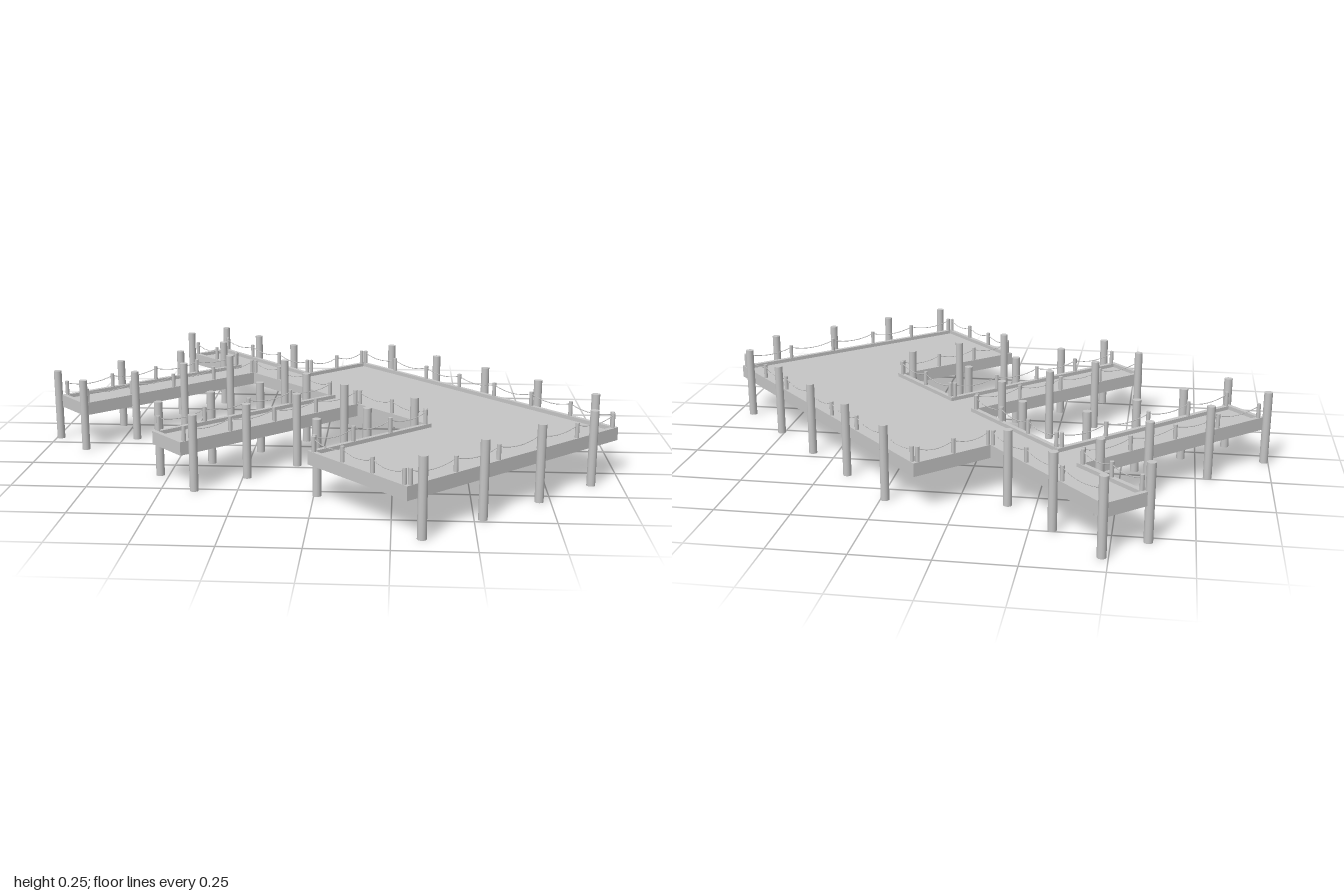
import * as THREE from 'three';

// Deck outline seen from above, as [x, z]
const OUTLINE = [
  [-0.48, -0.9], [-0.09, -0.475], [0.12, -0.675], [1.0, 0.255],
  [0.295, 0.92], [-0.015, 0.59], [0.355, 0.25], [0.12, 0.005],
  [-0.43, 0.525], [-0.545, 0.4], [0.01, -0.12], [-0.31, -0.455],
  [-0.86, 0.065], [-0.975, -0.06], [-0.4, -0.59], [-0.605, -0.79],
].map(([x, z]) => new THREE.Vector2(x, -z));

// Rows of piles: [x0, z0, x1, z1, count]
const PILE_ROWS = [
  [-0.48, -0.905, -0.48, -0.905, 1], [-0.61, -0.78, -0.45, -0.605, 2],
  [-0.32, -0.74, -0.16, -0.57, 2], [0.235, -0.585, 0.935, 0.165, 5],
  [0.9, 0.38, 0.34, 0.905, 4], [0.01, 0.54, 0.32, 0.25, 3],
  [0.075, 0.08, -0.39, 0.515, 4], [-0.53, 0.36, -0.07, -0.075, 4],
  [-0.17, -0.285, -0.17, -0.285, 1], [-0.39, -0.355, -0.855, 0.08, 4],
  [-0.985, -0.06, -0.985, -0.06, 1], [-0.79, -0.24, -0.595, -0.425, 2],
];

// Move every side of the clockwise outline inwards by w
function inset(points, w) {
  const n = points.length;
  const normal = (a, b) => {
    const d = b.clone().sub(a).normalize();
    return new THREE.Vector2(d.y, -d.x);
  };
  return points.map((p, i) => {
    const n1 = normal(points[(i + n - 1) % n], p);
    const n2 = normal(p, points[(i + 1) % n]);
    return p.clone().add(n1.clone().add(n2).multiplyScalar(w / (1 + n1.dot(n2))));
  });
}

// Horizontal slab between two heights
function slab(shape, y0, y1) {
  const g = new THREE.ExtrudeGeometry(shape, { depth: y1 - y0, bevelEnabled: false });
  return g.rotateX(-Math.PI / 2).translate(0, y0, 0);
}

export function createModel() {
  const model = new THREE.Group();
  model.name = 'pier';
  const timber = new THREE.MeshStandardMaterial({ color: 0xc6c6c6 });
  timber.name = 'grey timber';
  const add = (geometry, name, parent = model) => {
    const mesh = new THREE.Mesh(geometry, timber);
    mesh.name = name;
    parent.add(mesh);
    return mesh;
  };
  const group = (name) => {
    const g = new THREE.Group();
    g.name = name;
    model.add(g);
    return g;
  };

  // Deck boards held inside a taller edge beam
  add(slab(new THREE.Shape(inset(OUTLINE, 0.015)), 0.14, 0.152), 'deck');
  const beam = new THREE.Shape(OUTLINE);
  // The hole runs against the outline so its walls face inwards
  beam.holes.push(new THREE.Path(inset(OUTLINE, 0.016).reverse()));
  add(slab(beam, 0.12, 0.165), 'edgeBeam');

  // Tall piles standing just outside the deck
  const piles = group('piles');
  const pileGeometry = new THREE.CylinderGeometry(0.0145, 0.0145, 0.255, 12);
  for (const [x0, z0, x1, z1, count] of PILE_ROWS) {
    for (let i = 0; i < count; i++) {
      const t = count > 1 ? i / (count - 1) : 0;
      add(pileGeometry, 'pile', piles)
        .position.set(x0 + (x1 - x0) * t, 0.1275, z0 + (z1 - z0) * t);
    }
  }

  // Short posts on the beam with sagging ropes between them
  const railing = group('ropeRailing');
  const postGeometry = new THREE.CylinderGeometry(0.007, 0.007, 0.055, 8);
  const line = inset(OUTLINE, 0.008);
  line.forEach((a, i) => {
    const b = line[(i + 1) % line.length];
    const length = a.distanceTo(b);
    if (length < 0.25) return;
    const spans = Math.ceil(length / 0.2);
    const stops = [];
    for (let k = 0; k <= spans; k++) {
      const t = (0.012 + (length - 0.024) * k / spans) / length;
      const p = a.clone().lerp(b, t);
      stops.push(new THREE.Vector3(p.x, 0.207, -p.y));
      add(postGeometry, 'railPost', railing).position.set(p.x, 0.1875, -p.y);
    }
    for (let k = 0; k < spans; k++) {
      const mid = stops[k].clone().lerp(stops[k + 1], 0.5);
      mid.y = 0.178;
      const curve = new THREE.QuadraticBezierCurve3(stops[k], mid, stops[k + 1]);
      add(new THREE.TubeGeometry(curve, 8, 0.0015, 5), 'rope', railing);
    }
  });

  return model;
}
